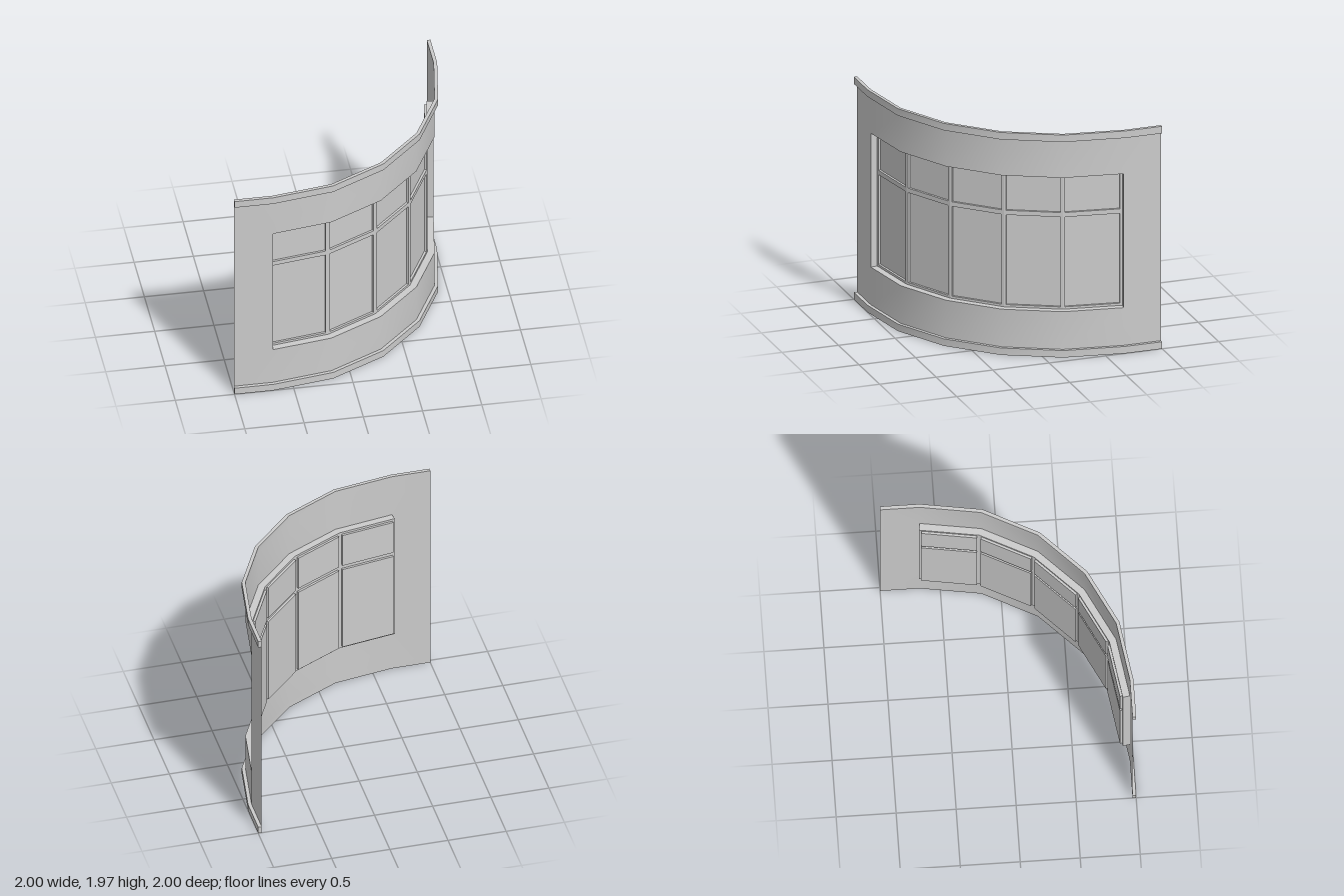
import * as THREE from 'three';
import { mergeGeometries } from 'three/addons/utils/BufferGeometryUtils.js';

const C = -0.67;            // arc centre in x and z
const SEGMENTS = 5;         // window bays on the quarter circle
const R_WALL = 1.64, R_BAND = 1.67;
const H = 1.97, BAND = 0.062;
const SILL = 0.395, HEAD = 1.58;
const REVEAL = 0.06, PANE_DEPTH = 0.02, INSET = 0.02;

const smooth = new THREE.MeshStandardMaterial({ color: 0xcccccc, side: THREE.DoubleSide });
const flat = new THREE.MeshStandardMaterial({ color: 0xcccccc, side: THREE.DoubleSide, flatShading: true });

// Plan points [x, z] of the faceted quarter circle
function arc(r) {
  return Array.from({ length: SEGMENTS + 1 }, (_, i) => {
    const a = (Math.PI / 2) * (1 - i / SEGMENTS);
    return [C + r * Math.cos(a), C + r * Math.sin(a)];
  });
}

// Quarter circle with its straight ends
const wallPath = (r) => [[-1, C + r], ...arc(r), [C + r, -1]];

const row = (path, y) => path.map(([x, z]) => [x, y, z]);

// Surface through rows of points; skip(r, i) leaves a cell open
function grid(rows, skip = () => false) {
  const n = rows[0].length, index = [];
  for (let r = 0; r < rows.length - 1; r++) {
    for (let i = 0; i < n - 1; i++) {
      if (skip(r, i)) continue;
      const a = r * n + i, b = a + 1, c = a + n, d = c + 1;
      index.push(a, b, d, a, d, c);
    }
  }
  const g = new THREE.BufferGeometry();
  g.setAttribute('position', new THREE.Float32BufferAttribute(rows.flat(2), 3));
  g.setIndex(index);
  g.computeVertexNormals();
  return g;
}

function add(parent, name, geometry, material) {
  const mesh = new THREE.Mesh(geometry, material);
  mesh.name = name;
  parent.add(mesh);
  return mesh;
}

// Trim band: rectangular section swept along the wall
function bandGeometry(y0, y1) {
  const o = wallPath(R_BAND), i = wallPath(R_WALL);
  const loop = [row(o, y0), row(o, y1), row(i, y1), row(i, y0)];
  const parts = loop.map((r, k) => grid([r, loop[(k + 1) % 4]]));
  for (const e of [0, o.length - 1]) {
    parts.push(grid([[loop[3][e], loop[0][e]], [loop[2][e], loop[1][e]]]));
  }
  return mergeGeometries(parts);
}

function rectangle(target, x0, y0, x1, y1) {
  target.moveTo(x0, y0).lineTo(x1, y0).lineTo(x1, y1).lineTo(x0, y1).closePath();
  return target;
}

// Inner window line, set back square to each facet
function windowPath() {
  const half = Math.PI / 4 / SEGMENTS;
  const p = arc(R_WALL - REVEAL / Math.cos(half));
  const dx = REVEAL * Math.sin(half), dz = REVEAL * Math.cos(half);
  p[0] = [C - dx, C + R_WALL - dz];
  p[SEGMENTS] = [C + R_WALL - dz, C - dx];
  return p;
}

export function createModel() {
  const model = new THREE.Group();
  model.name = 'curvedWindowWall';

  // Wall skin with the window opening left out
  const wp = wallPath(R_WALL);
  const wall = grid([BAND, SILL, HEAD, H - BAND].map((y) => row(wp, y)),
    (r, i) => r === 1 && i >= 1 && i <= SEGMENTS);
  add(model, 'wall', wall, smooth);

  // Trim bands at foot and top
  add(model, 'bottomBand', bandGeometry(0, BAND), smooth);
  add(model, 'topBand', bandGeometry(H - BAND, H), smooth);

  // Reveal around the opening
  const outer = arc(R_WALL), inner = windowPath();
  const revealParts = [
    grid([row(outer, SILL), row(inner, SILL)]),
    grid([row(inner, HEAD), row(outer, HEAD)]),
  ];
  for (const e of [0, SEGMENTS]) {
    const pair = e ? [inner[e], outer[e]] : [outer[e], inner[e]];
    revealParts.push(grid([row(pair, SILL), row(pair, HEAD)]));
  }
  add(model, 'windowReveal', mergeGeometries(revealParts), flat);

  // Five window bays, each a lattice with two recessed panes
  for (let s = 0; s < SEGMENTS; s++) {
    const [ax, az] = inner[s], [bx, bz] = inner[s + 1];
    const width = Math.hypot(bx - ax, bz - az);
    const bay = new THREE.Group();
    bay.name = `windowBay${s + 1}`;
    bay.position.set(ax, 0, az);
    bay.rotation.y = Math.atan2(az - bz, bx - ax);
    model.add(bay);

    const frame = rectangle(new THREE.Shape(), 0, SILL, width, HEAD);
    for (const [name, y0, y1] of [['lowerPane', SILL + INSET, 1.21], ['upperPane', 1.25, HEAD - INSET]]) {
      const x0 = INSET, x1 = width - INSET;
      frame.holes.push(rectangle(new THREE.Path(), x0, y0, x1, y1));
      // Shallow tray: a box without its front face
      const tray = new THREE.BoxGeometry(x1 - x0, y1 - y0, PANE_DEPTH);
      const idx = Array.from(tray.index.array);
      idx.splice(24, 6);
      tray.setIndex(idx);
      tray.clearGroups();
      add(bay, name, tray, flat).position.set((x0 + x1) / 2, (y0 + y1) / 2, -PANE_DEPTH / 2);
    }
    add(bay, 'windowFrame', new THREE.ShapeGeometry(frame), flat);
  }
  return model;
}
